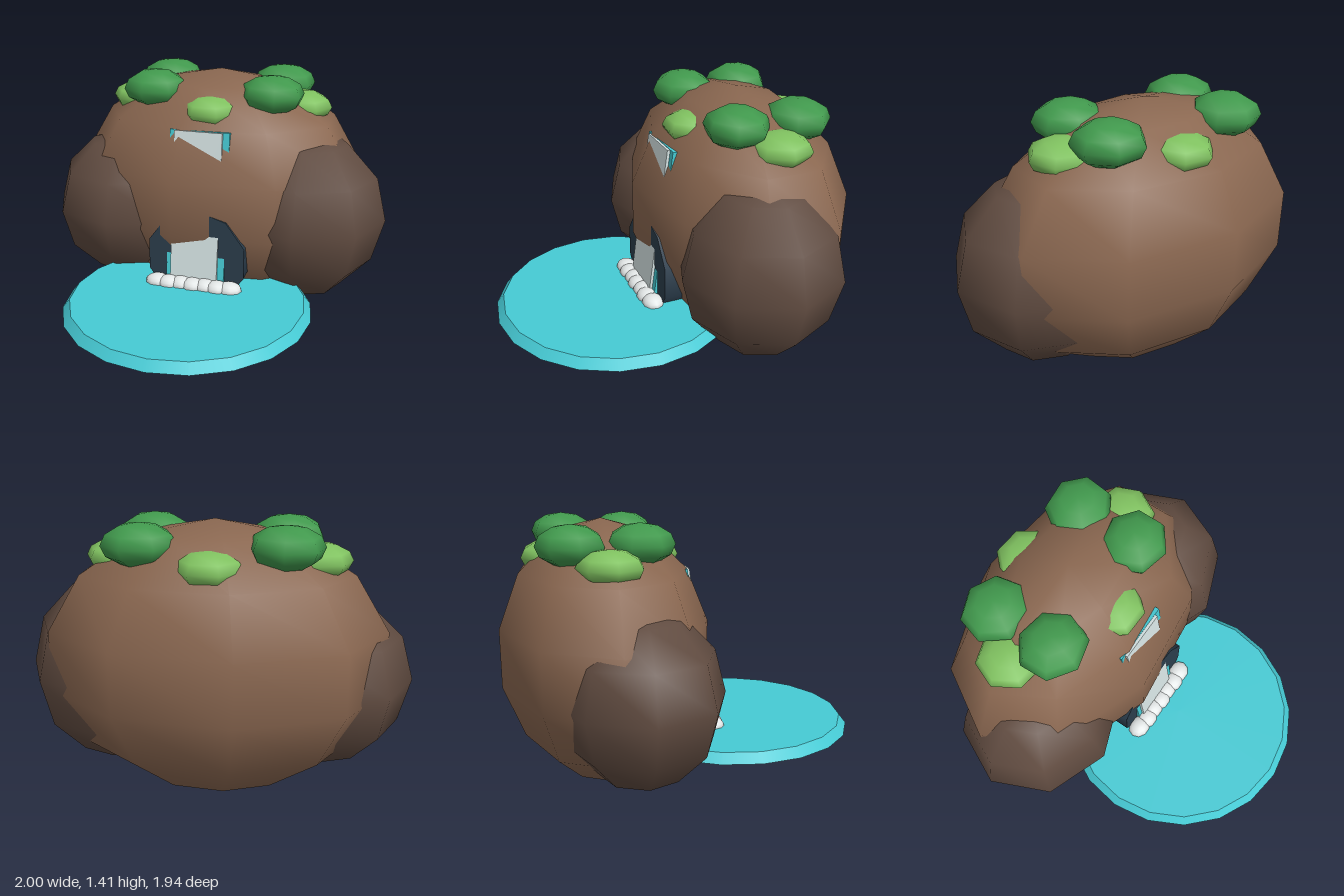
import * as THREE from 'three';

const mat = (name, color) => {
  const m = new THREE.MeshStandardMaterial({ color });
  m.name = name;
  return m;
};

export function createModel() {
  const group = new THREE.Group();
  const rock = mat('brownRock', 0x8a6750);
  const darkRock = mat('darkRock', 0x604b40);
  const leaf = mat('darkLeaf', 0x41994d);
  const lightLeaf = mat('lightLeaf', 0x80c260);
  const water = mat('water', 0x46cad4);
  const fall = mat('fallingWater', 0xd6e4e4);
  const foamWhite = mat('foam', 0xeef2f2);
  const caveDark = mat('caveDark', 0x2c3e4d);

  const add = (name, geometry, material, x, y, z) => {
    const mesh = new THREE.Mesh(geometry, material);
    mesh.name = name;
    mesh.position.set(x, y, z);
    group.add(mesh);
    return mesh;
  };
  // Low-poly ellipsoid with smooth normals
  const blob = (name, material, [x, y, z], [rx, ry, rz], w, h, turn = 0) =>
    add(name, new THREE.SphereGeometry(1, w, h).rotateY(turn).scale(rx, ry, rz), material, x, y, z);

  // Boulders
  blob('mainBoulder', rock, [0, 0.704, -0.42], [0.88, 0.702, 0.573], 9, 7);
  blob('leftBoulder', darkRock, [0.53, 0.603, -0.32], [0.467, 0.497, 0.44], 8, 6);
  blob('rightBoulder', darkRock, [-0.535, 0.577, -0.3], [0.465, 0.453, 0.43], 8, 6);

  // Cave mouth: a dark plug set into the boulder
  const cave = new THREE.CylinderGeometry(0.29, 0.29, 0.4, 10).rotateX(Math.PI / 2);
  add('caveMouth', cave, caveDark, -0.005, 0.425, -0.095);

  // Pool
  add('pool', new THREE.CylinderGeometry(0.64, 0.68, 0.05, 20), water, 0, 0.255, 0.293);

  // Waterfall: wide blue sheet behind a narrow white one, both leaning back
  const lean = -0.13;
  const sheet = (name, material, x, width, depth, z) => {
    const mesh = add(name, new THREE.BoxGeometry(width, 0.88, depth), material, x, 0.705, z);
    mesh.rotation.x = lean;
  };
  sheet('waterfallBack', water, -0.008, 0.335, 0.03, 0.056);
  sheet('waterfallFront', fall, -0.013, 0.27, 0.02, 0.077);

  // Foam where the fall meets the pool
  for (let i = 0; i < 7; i++) {
    const x = -0.218 + i * 0.07;
    blob('foam', foamWhite, [x, 0.283, 0.15 + (i % 2) * 0.006], [0.07, 0.044, 0.06], 10, 8);
  }

  // Ring of bushes on top: [x, z, turn]
  for (const [x, z, turn] of [[-0.355, -0.605, 0.2], [-0.35, -0.265, 0.5], [0.335, -0.605, 0.8], [0.33, -0.26, 0]]) {
    blob('darkBush', leaf, [x, 1.305, z], [0.185, 0.105, 0.175], 7, 6, turn);
  }
  for (const [x, z, turn] of [[-0.5, -0.43, 0.1], [0.475, -0.43, 0.4], [0.005, -0.17, 0.2], [-0.01, -0.685, 0.6]]) {
    blob('lightBush', lightLeaf, [x, 1.215, z], [0.17, 0.087, 0.17], 7, 6, turn);
  }
  return group;
}
